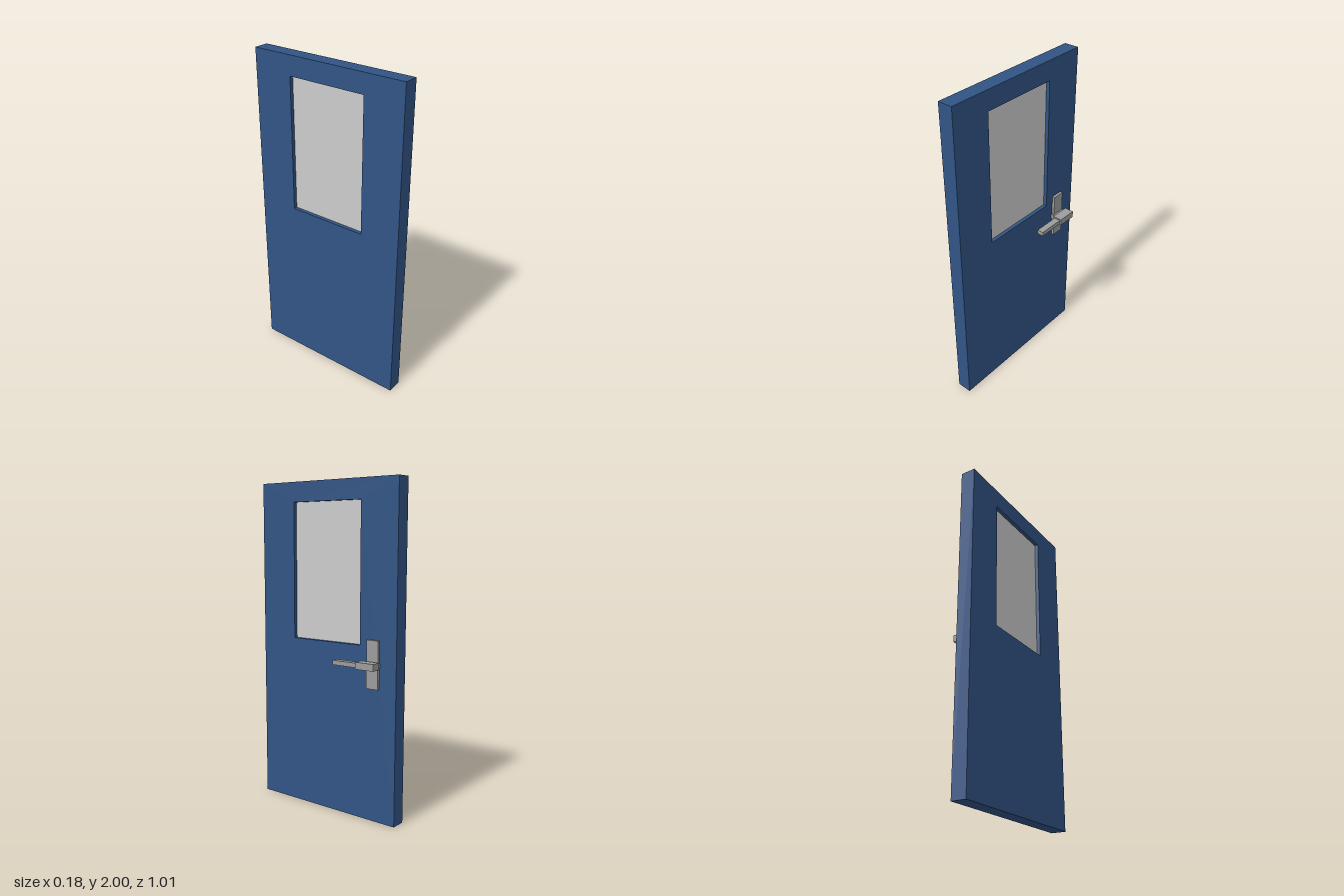
import * as THREE from 'three';

const paint = new THREE.MeshStandardMaterial({ color: 0x315484 });
const metal = new THREE.MeshStandardMaterial({ color: 0x9c9c9c });
const pane = new THREE.MeshStandardMaterial({ color: 0xcccccc });

// Box given by its min and max on each axis
function box(name, material, [x0, x1], [y0, y1], [z0, z1]) {
  const mesh = new THREE.Mesh(new THREE.BoxGeometry(x1 - x0, y1 - y0, z1 - z0), material);
  mesh.position.set((x0 + x1) / 2, (y0 + y1) / 2, (z0 + z1) / 2);
  mesh.name = name;
  return mesh;
}

function rectangle(path, w, y0, y1) {
  return path.moveTo(-w, y0).lineTo(w, y0).lineTo(w, y1).lineTo(-w, y1).closePath();
}

export function createModel() {
  const model = new THREE.Group();
  model.name = 'door';
  const thickness = 0.092;

  // Door leaf with a window opening, extruded and turned to face +x
  const outline = rectangle(new THREE.Shape(), 0.504, 0, 2);
  outline.holes.push(rectangle(new THREE.Path(), 0.251, 1.05, 1.88));
  const leafGeometry = new THREE.ExtrudeGeometry(outline, { depth: thickness, bevelEnabled: false });
  leafGeometry.rotateY(Math.PI / 2).translate(-thickness, 0, 0);
  const leaf = new THREE.Mesh(leafGeometry, paint);
  leaf.name = 'doorLeaf';
  model.add(leaf);

  // Window pane, recessed on both faces
  model.add(box('windowPane', pane, [-0.069, -0.023], [1.05, 1.88], [-0.251, 0.251]));

  // Handle on the +x face
  const handle = new THREE.Group();
  handle.name = 'handle';
  handle.add(
    box('backPlate', metal, [0, 0.017], [0.803, 1.088], [-0.39, -0.31]),
    box('handleNeck', metal, [0, 0.033], [0.931, 0.959], [-0.394, -0.302]),
    box('handleHead', metal, [0.032, 0.092], [0.925, 0.966], [-0.409, -0.285]),
    box('lever', metal, [0.042, 0.083], [0.931, 0.958], [-0.29, -0.115])
  );
  model.add(handle);

  return model;
}
